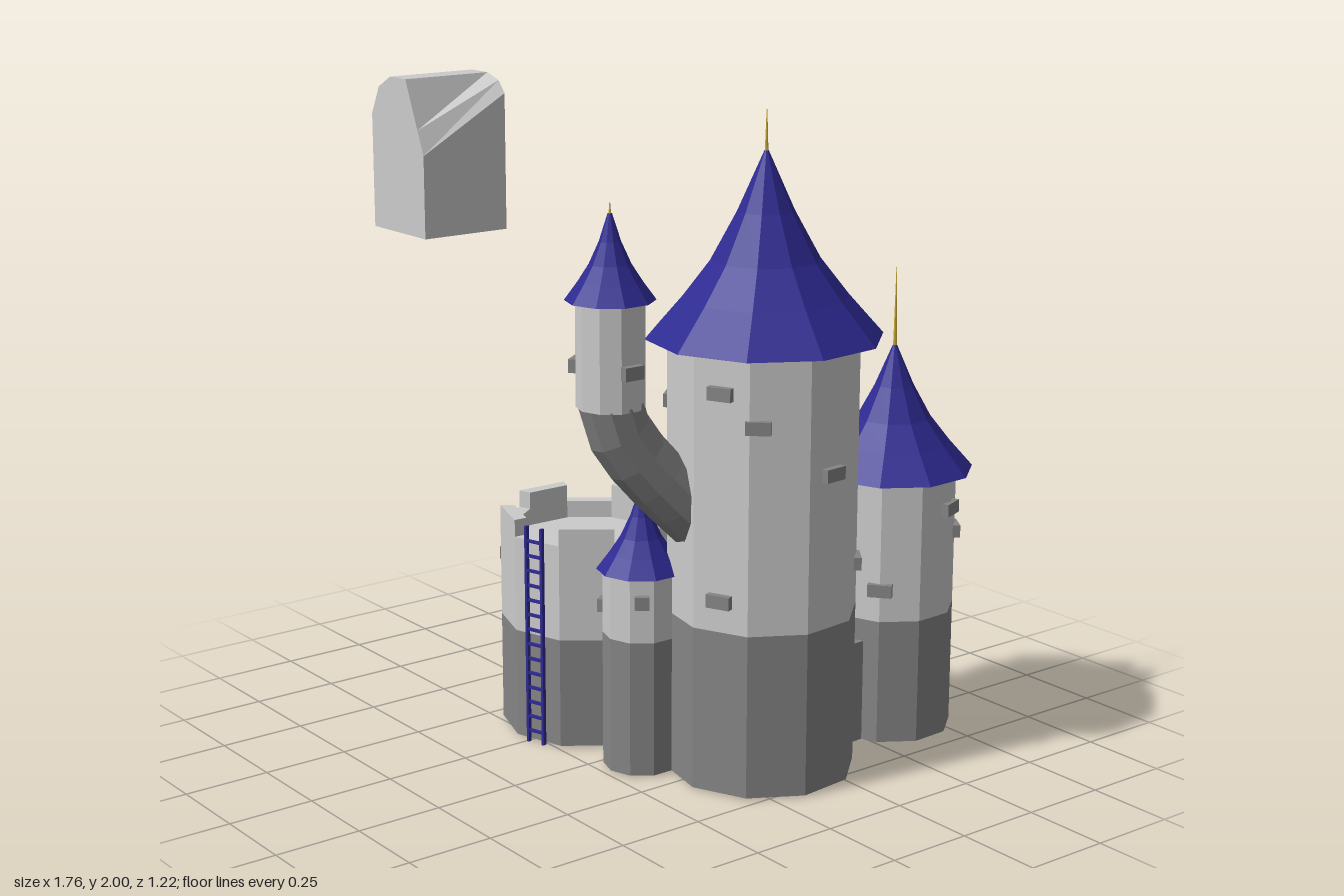
import * as THREE from 'three';

const mat = (color) => new THREE.MeshStandardMaterial({ color, flatShading: true, side: THREE.DoubleSide });
const LIGHT = mat(0xcccccc), DARK = mat(0x858585), BLUE = mat(0x2e2a92), GLASS = mat(0x525e9c), GOLD = mat(0xc8a838);
const SIDES = 10, rad = THREE.MathUtils.degToRad;

export function createModel() {
  const root = new THREE.Group();
  const add = (name, geo, material, parent = root) => {
    const m = new THREE.Mesh(geo, material);
    m.name = name;
    parent.add(m);
    return m;
  };

  // flat polygon of [x, z] corners raised from y0 to y1
  const prism = (pts, y0, y1) => {
    const shape = new THREE.Shape(pts.map(([x, z]) => new THREE.Vector2(x, -z)));
    return new THREE.ExtrudeGeometry(shape, { depth: y1 - y0, bevelEnabled: false })
      .rotateX(-Math.PI / 2).translate(0, y0, 0);
  };
  // ten-sided turned part; a = direction of one corner in degrees
  const turned = (pts, a) => new THREE.LatheGeometry(
    pts.map(([r, y]) => new THREE.Vector2(r, y)), SIDES, Math.PI / 2 - rad(a));

  // tower: group at its axis, darker base, lighter wall
  const tower = (name, x, z, r, a, base, top, bottom = 0.01) => {
    const g = new THREE.Group();
    g.name = name;
    g.position.set(x, 0, z);
    g.userData = { r, a };
    root.add(g);
    if (base > bottom) add('towerBase', turned([[0, bottom], [r, bottom], [r, base]], a), DARK, g);
    add('towerWall', turned([[r, base], [r, top]], a), LIGHT, g);
    return g;
  };
  // flared pointed roof with a spike
  const roof = (g, r, y, apex, tip) => {
    const h = apex - y, a = g.userData.a;
    add('roof', turned([[g.userData.r * 0.9, y], [r, y], [r * 0.7, y + h * 0.22],
      [r * 0.46, y + h * 0.42], [r * 0.24, y + h * 0.68], [0.006, apex]], a), BLUE, g);
    add('spike', new THREE.CylinderGeometry(0.001, 0.006, tip - apex + 0.03, 6)
      .translate(0, (tip + apex) / 2 - 0.015, 0), GOLD, g);
  };
  // put a mesh on a tower wall, facing the given direction
  const onWall = (g, mesh, angle, y) => {
    const d = g.userData.r * Math.cos(Math.PI / SIDES), t = rad(angle);
    mesh.position.set(d * Math.cos(t), y, d * Math.sin(t));
    mesh.rotation.y = Math.PI / 2 - t;
  };
  const stones = (g, list, w = 0.07) => list.forEach(([angle, y]) =>
    onWall(g, add('stone', new THREE.BoxGeometry(w, 0.037, 0.04), DARK, g), angle, y));
  const arch = (g, name, angle, y, w, h, material) => {
    const s = new THREE.Shape();
    s.moveTo(-w / 2, 0);
    s.lineTo(w / 2, 0);
    s.lineTo(w / 2, h - w / 2);
    s.absarc(0, h - w / 2, w / 2, 0, Math.PI);
    const geo = new THREE.ExtrudeGeometry(s, { depth: 0.006, bevelEnabled: false, curveSegments: 6 });
    onWall(g, add(name, geo, material, g), angle, y);
  };

  // main tower
  const main = tower('mainTower', 0.14, 0.29, 0.266, -6, 0.475, 1.25);
  roof(main, 0.328, 1.245, 1.75, 1.86);
  arch(main, 'window', -24, 1.0, 0.085, 0.165, GLASS);
  arch(main, 'window', -96, 1.0, 0.085, 0.165, GLASS);
  arch(main, 'door', -60, 0.45, 0.1, 0.32, BLUE);
  stones(main, [[84, 0.91], [156, 1.14], [133, 1.055], [156, 0.565], [36, 0.605], [-132, 1.06]]);

  // side tower
  const side = tower('sideTower', 0.645, 0.265, 0.187, -3, 0.375, 0.79);
  roof(side, 0.233, 0.785, 1.145, 1.37);
  arch(side, 'window', -57, 0.57, 0.075, 0.175, BLUE);
  stones(side, [[69, 0.69], [141, 0.47], [33, 0.595], [-21, 0.47], [-93, 0.6], [-129, 0.69]]);

  // low tower
  const low = tower('lowTower', -0.125, 0.085, 0.108, 0, 0.4, 0.59);
  roof(low, 0.125, 0.585, 0.81, 0.83);
  stones(low, [[126, 0.52], [-126, 0.47]], 0.04);

  // hanging turret with its bent support
  const turret = tower('turret', -0.29, 0.17, 0.093, 0, 1.09, 1.385, 1.09);
  roof(turret, 0.122, 1.38, 1.61, 1.64);
  arch(turret, 'window', -54, 1.23, 0.04, 0.09, BLUE);
  stones(turret, [[90, 1.2], [-126, 1.2]], 0.06);
  const bend = new THREE.CatmullRomCurve3([[-0.29, 1.1, 0.17], [-0.285, 1.06, 0.17], [-0.23, 0.96, 0.185],
    [-0.1, 0.81, 0.22], [0.02, 0.69, 0.25]].map((p) => new THREE.Vector3(...p)));
  add('turretSupport', new THREE.TubeGeometry(bend, 6, 0.09, SIDES), DARK);

  // battlement tower: hollow top, raised wall pieces on every other side
  const keep = tower('battlementTower', -0.03, -0.295, 0.255, 1, 0.33, 0.61);
  add('parapet', turned([[0.255, 0.6], [0.255, 0.61], [0.215, 0.61], [0.215, 0.56], [0, 0.56]], 1), LIGHT, keep);
  for (let i = 0; i < SIDES; i += 2) {
    const a0 = rad(-35 + i * 36), a1 = rad(1 + i * 36);
    const corners = [[0.255, a0], [0.255, a1], [0.215, a1], [0.215, a0]];
    add('merlon', prism(corners.map(([r, a]) => [r * Math.cos(a), r * Math.sin(a)]), 0.6, 0.66), LIGHT, keep);
  }
  stones(keep, [[-17, 0.575], [-53, 0.465], [-89, 0.415], [-125, 0.5]]);

  // ladder on the battlement tower
  const ladder = new THREE.Group();
  ladder.name = 'ladder';
  keep.add(ladder);
  onWall(keep, ladder, 163, 0);
  for (const s of [-1, 1])
    add('ladderRail', new THREE.BoxGeometry(0.008, 0.65, 0.012).translate(s * 0.027, 0.33, 0.012), BLUE, ladder);
  for (let i = 0; i < 14; i++)
    add('ladderRung', new THREE.BoxGeometry(0.054, 0.008, 0.008).translate(0, 0.04 + i * 0.044, 0.012), BLUE, ladder);

  // raised courtyard with a rim around the blue floor
  const yard = new THREE.Group();
  yard.name = 'courtyard';
  yard.position.set(0.383, 0, -0.13);
  root.add(yard);
  add('courtyardWall', turned([[0, 0.01], [0.497, 0.01], [0.497, 0.31], [0.455, 0.31], [0.455, 0.295]], -4), DARK, yard);
  add('courtyardFloor', turned([[0.456, 0.296], [0, 0.296]], -4), BLUE, yard);

  // fanned steps with a blue carpet, falling from the door to the courtyard
  const mix = (a, b, t) => [a[0] + (b[0] - a[0]) * t, a[1] + (b[1] - a[1]) * t];
  const count = 6, hub = [0.14, 0.29];
  for (let i = 1; i <= count; i++) {
    const t = i / count, y = 0.45 - 0.023 * (i - 1);
    const left = mix([0.23, -0.03], [0.46, -0.45], t), right = mix([0.41, 0.12], [0.73, -0.08], t);
    const farLeft = [left[0] - 0.33, left[1] - 0.04], farRight = [right[0], right[1] + 0.15];
    add('step', prism([hub, farLeft, left, right, farRight], 0.29, y - 0.014), LIGHT);
    add('stepCarpet', prism([hub, left, right], 0.29, y)
      .translate(0.002, 0, -0.002), BLUE);
  }

  // floating arched stone: one cross-section, with a shoulder cut away at the -x end
  const section = [[-0.02, 1.615], [0.215, 1.615], [0.215, 1.955], [0.19, 1.985],
    [0.14, 2], [0.07, 2], [0.015, 1.97], [-0.02, 1.9]];
  const block = new THREE.ExtrudeGeometry(new THREE.Shape(section.map(([z, y]) => new THREE.Vector2(-z, y))),
    { depth: 0.24, bevelEnabled: false }).rotateY(Math.PI / 2).translate(-0.885, 0, 0);
  const p = block.attributes.position;
  for (let i = 0; i < p.count; i++) {
    if (p.getX(i) > -0.8) continue;
    if (p.getZ(i) > 0.2 && p.getY(i) > 1.9) p.setY(i, 1.82);
    else if (p.getZ(i) > 0.17 && p.getY(i) > 1.9) p.setY(i, 1.88);
  }
  // the extruded profile runs along -z, so mirror-free z comes from the sign above
  block.computeVertexNormals();
  add('floatingStone', block, LIGHT);

  return root;
}
